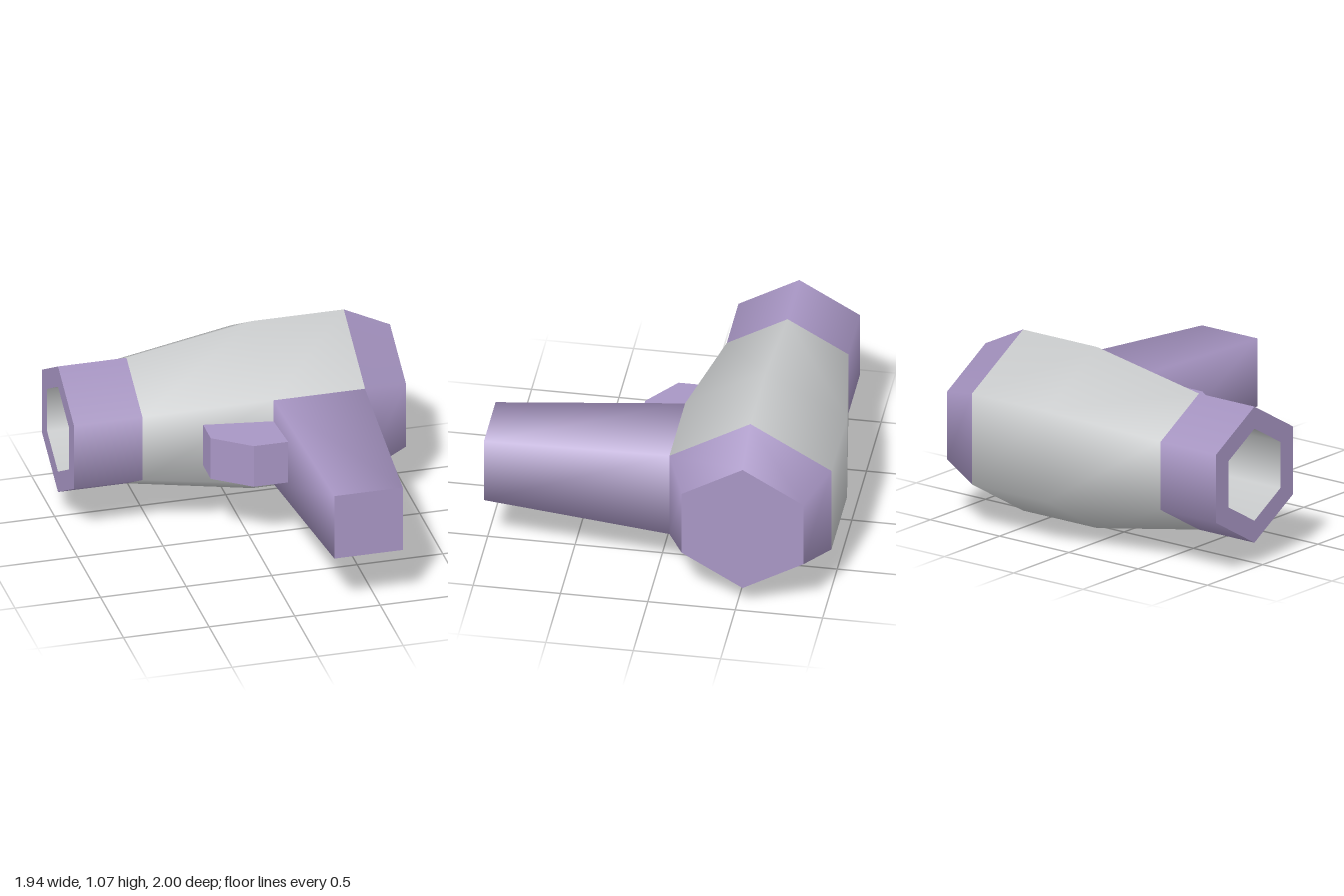
import * as THREE from 'three';

const AXIS_Y = 0.537, AXIS_Z = -0.537;

export function createModel() {
  const model = new THREE.Group();
  model.name = 'hairDryer';

  const purple = new THREE.MeshStandardMaterial({ color: 0xa896c4 });
  purple.name = 'soft purple';
  const grey = new THREE.MeshStandardMaterial({ color: 0xcacccd });
  grey.name = 'light grey';

  function add(name, geometry, material, parent = model) {
    const mesh = new THREE.Mesh(geometry, material);
    mesh.name = name;
    parent.add(mesh);
    return mesh;
  }

  // Profile of [radius, height] pairs turned into a prism with few sides
  function turned(profile, sides, start) {
    return new THREE.LatheGeometry(profile.map(([r, h]) => new THREE.Vector2(r, h)), sides, start);
  }

  // Barrel: hexagonal sections along x, with a corner pointing up
  const barrel = new THREE.Group();
  barrel.name = 'barrel';
  barrel.position.set(0, AXIS_Y, AXIS_Z);
  model.add(barrel);
  const hex = (name, material, ...profile) =>
    add(name, turned(profile, 6, Math.PI / 2).rotateZ(-Math.PI / 2), material, barrel);

  hex('nozzle', purple, [0.402, -0.97], [0.402, -0.57]);
  hex('nozzleRim', purple, [0.272, -0.97], [0.402, -0.97]);
  hex('nozzleBore', grey, [0.272, -0.57], [0.272, -0.97]);
  hex('boreFloor', grey, [0, -0.57], [0.272, -0.57]);
  hex('shell', grey, [0.402, -0.57], [0.535, 0.165], [0.535, 0.7]);
  hex('rearCone', purple, [0.535, 0.7], [0.402, 0.97]);
  hex('rearCap', purple, [0.402, 0.97], [0, 0.97]);

  // Handle: tapered square grip pointing forward
  const handle = new THREE.Group();
  handle.name = 'handle';
  handle.position.set(0.432, AXIS_Y, 0);
  model.add(handle);
  const root = 0.267 * Math.SQRT2, tip = 0.2 * Math.SQRT2;
  const square = (name, ...profile) =>
    add(name, turned(profile, 4, Math.PI / 4).rotateX(Math.PI / 2), purple, handle);
  square('grip', [root, -0.074], [tip, 1]);
  square('gripEnd', [tip, 1], [0, 1]);

  // Trigger: chamfered block between barrel and handle, drawn in x and z
  const outline = new THREE.Shape([
    [-0.23, -0.3], [0.25, -0.3], [0.25, 0.185], [-0.02, 0.185], [-0.23, 0.03],
  ].map(([x, z]) => new THREE.Vector2(x, z)));
  const trigger = new THREE.ExtrudeGeometry(outline, { depth: 0.26, bevelEnabled: false });
  trigger.rotateX(Math.PI / 2).translate(0, 0.67, 0);
  add('trigger', trigger, purple);

  return model;
}
